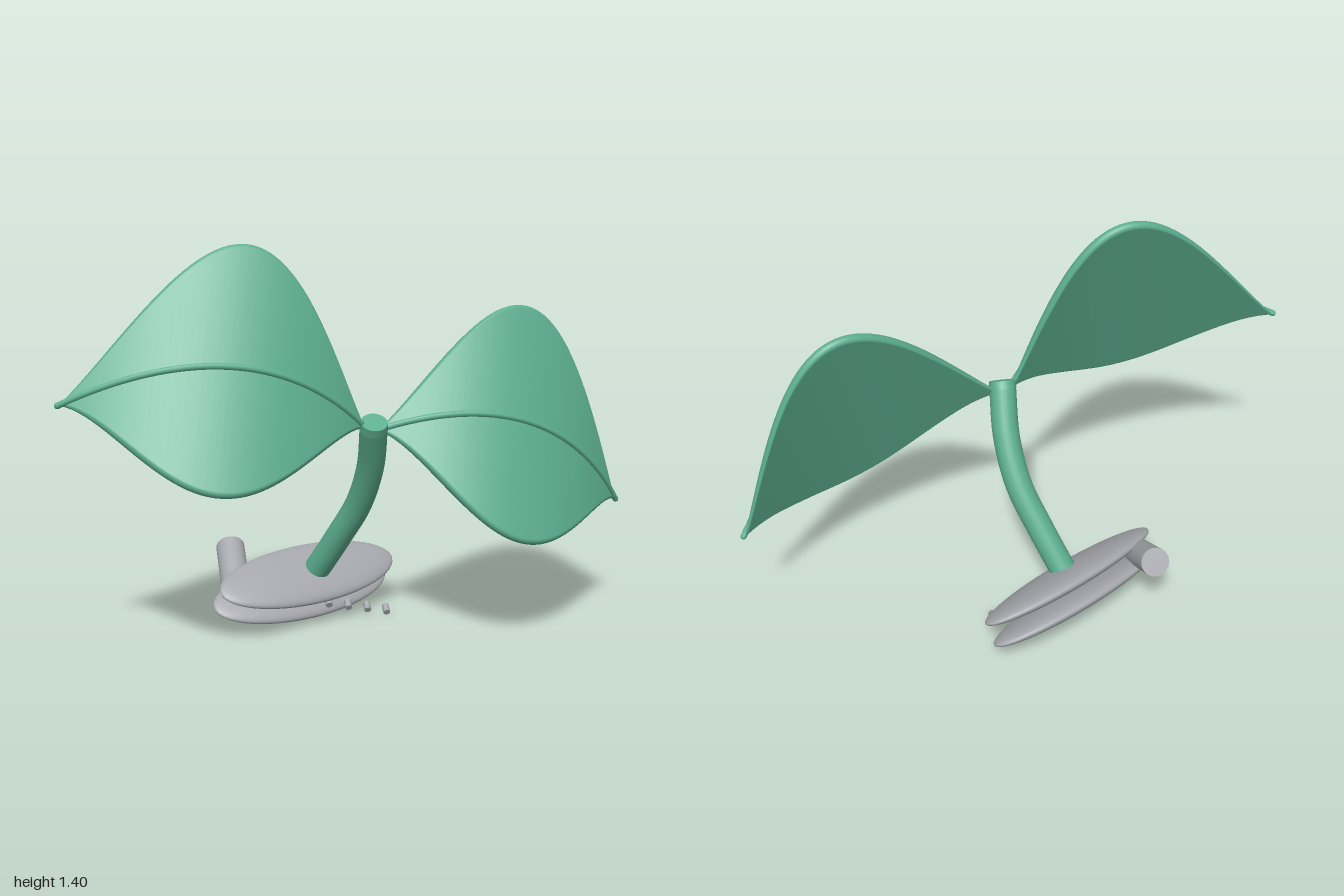
import * as THREE from 'three';

const green = new THREE.MeshStandardMaterial({ color: 0x5cae90 });
green.name = 'leaf green';
const grey = new THREE.MeshStandardMaterial({ color: 0xa6a8ad });
grey.name = 'clip grey';

const LEAF_START = 0.02, LEAF_END = 1.035;

// Arched midrib line of a leaf; side is +1 or -1
function ribPoint(t, side) {
  const x = LEAF_START + (LEAF_END - LEAF_START) * t;
  return new THREE.Vector3(side * x, 0.754 * x - 0.831 * x * x, 0);
}

// Thin leaf blade with a rounded rim, swept along the midrib
function leafGeometry(side) {
  const across = new THREE.Vector3(0, 0.59, -0.81);
  const normal = new THREE.Vector3(0, 0.81, 0.59);
  const steps = 48, arc = 8, ring = 2 * (arc + 1);
  const positions = [], index = [];
  for (let i = 0; i <= steps; i++) {
    const t = i / steps;
    const r = 0.003 + 0.014 * Math.sqrt(Math.min(1, 6 * t * (1 - t)));
    const half = Math.max(r, 0.425 * Math.pow(Math.max(0, Math.sin(Math.PI * t)), 1.25));
    for (let k = 0; k < ring; k++) {
      const rim = k <= arc ? 1 : -1;
      const a = -Math.PI / 2 + Math.PI * (k <= arc ? k / arc : 1 + (k - arc - 1) / arc);
      const p = ribPoint(t, side)
        .addScaledVector(across, rim * (half - r) + r * Math.cos(a))
        .addScaledVector(normal, r * Math.sin(a) - r);
      positions.push(p.x, p.y, p.z);
    }
  }
  for (let i = 0; i < steps; i++) {
    for (let k = 0; k < ring; k++) {
      const a = i * ring + k, b = i * ring + (k + 1) % ring;
      const c = a + ring, d = b + ring;
      if (side > 0) index.push(a, b, c, b, d, c);
      else index.push(a, c, b, b, c, d);
    }
  }
  const g = new THREE.BufferGeometry();
  g.setAttribute('position', new THREE.Float32BufferAttribute(positions, 3));
  g.setIndex(index);
  g.computeVertexNormals();
  return g;
}

function add(parent, name, geometry, material, x = 0, y = 0, z = 0) {
  const mesh = new THREE.Mesh(geometry, material);
  mesh.name = name;
  mesh.position.set(x, y, z);
  parent.add(mesh);
  return mesh;
}

export function createModel() {
  const model = new THREE.Group();
  model.name = 'sproutClip';

  // Everything leans forward and to the side together
  const sprout = new THREE.Group();
  sprout.name = 'sprout';
  sprout.position.set(0.028, 0.77, 0.138);
  sprout.rotation.set(Math.PI / 6, 0, -Math.PI / 12);
  model.add(sprout);

  // Two leaves with raised midribs
  for (const side of [1, -1]) {
    const label = side > 0 ? 'left' : 'right';
    add(sprout, label + 'Leaf', leafGeometry(side), green);
    const points = [];
    for (let i = 0; i <= 12; i++) points.push(ribPoint(i / 12, side));
    const rib = new THREE.CatmullRomCurve3(points);
    add(sprout, label + 'Midrib', new THREE.TubeGeometry(rib, 48, 0.011, 10), green);
    const tip = ribPoint(1, side);
    add(sprout, label + 'LeafTip', new THREE.SphereGeometry(0.011, 10, 8), green, tip.x, tip.y, tip.z);
  }

  // Curved stem with a flat top
  const stemPath = new THREE.CatmullRomCurve3([
    [0.043, -0.69], [0.066, -0.497], [0.08, -0.325], [0.058, -0.15], [0.004, 0.025],
  ].map(([x, y]) => new THREE.Vector3(x, y, 0)));
  add(sprout, 'stem', new THREE.TubeGeometry(stemPath, 40, 0.048, 24), green);
  const stemTop = add(sprout, 'stemTop', new THREE.CylinderGeometry(0.046, 0.049, 0.03, 24), green, 0.002, 0.031, 0);
  stemTop.rotation.z = 0.28;

  // Pair of flat oval clip plates
  for (const [name, y] of [['upperPlate', -0.704], ['lowerPlate', -0.786]]) {
    const plate = add(sprout, name, new THREE.SphereGeometry(1, 48, 32), grey, 0.028, y, 0);
    plate.scale.set(0.394, 0.039, 0.136);
    plate.rotation.y = 0.428;
  }

  // Hinge barrel between the plates
  const hinge = add(sprout, 'hinge', new THREE.CylinderGeometry(0.052, 0.052, 0.21, 32), grey, -0.254, -0.752, -0.0325);
  hinge.rotation.x = Math.PI / 2;

  // Row of small teeth
  for (let i = 0; i < 7; i++) {
    const tooth = add(sprout, 'tooth', new THREE.CylinderGeometry(0.013, 0.013, 0.036, 12), grey,
      0.336 - i * 0.0775, -0.748, 0.0885);
    tooth.rotation.x = Math.PI / 2;
  }

  return model;
}
